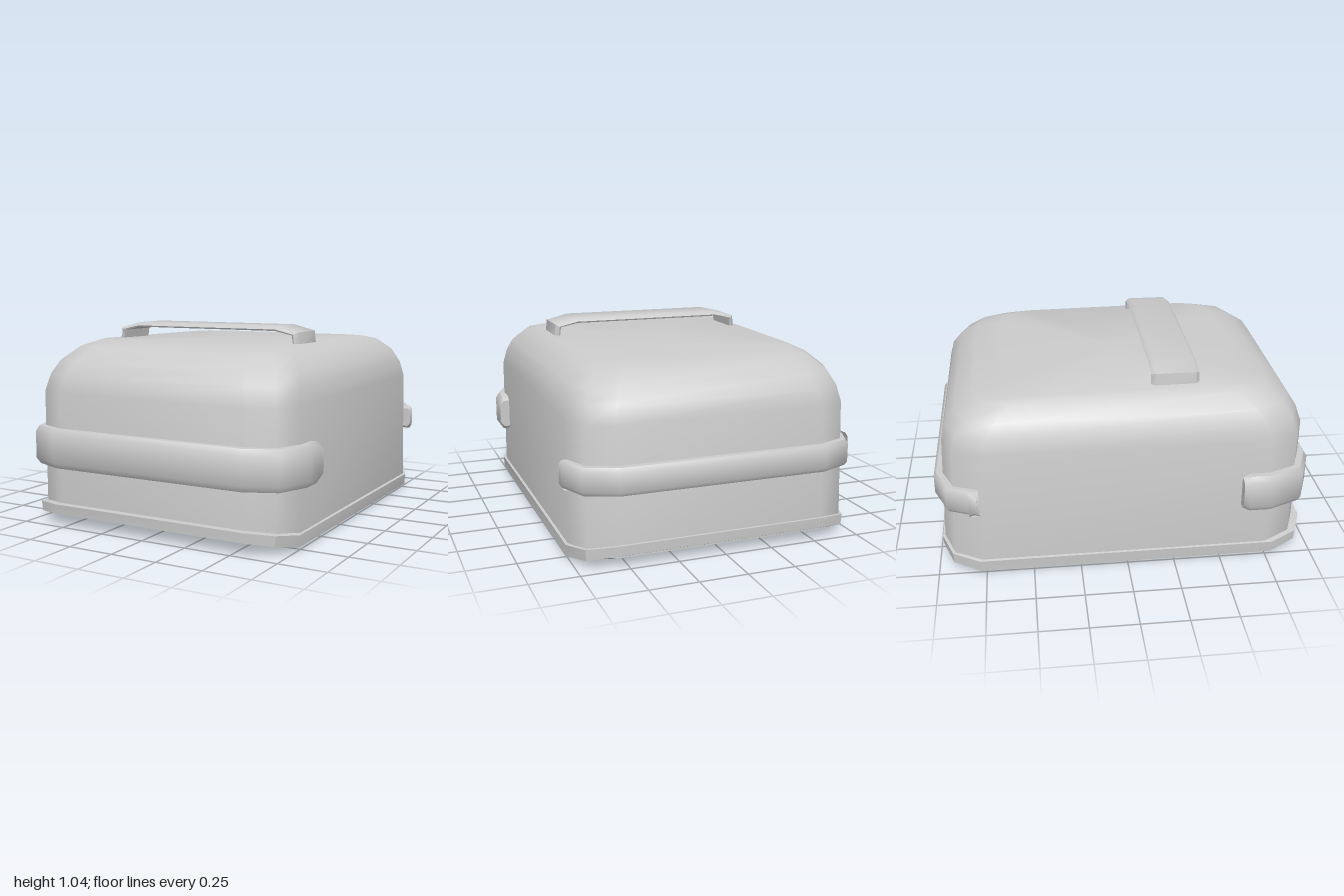
import * as THREE from 'three';
import { toCreasedNormals } from 'three/addons/utils/BufferGeometryUtils.js';

const grey = new THREE.MeshStandardMaterial({ color: 0xcccccc });

// Skin a list of closed cross-sections (each an array of [x, y, z]) and cap both ends.
function loft(name, rings, crease) {
  const n = rings[0].length;
  const points = rings.flat();
  const index = [];
  for (let j = 0; j < rings.length - 1; j++) {
    for (let i = 0; i < n; i++) {
      const a = j * n + i, b = j * n + (i + 1) % n;
      index.push(a, a + n, b, b, a + n, b + n);
    }
  }
  [0, rings.length - 1].forEach((j) => {
    const centre = [0, 1, 2].map((k) => rings[j].reduce((s, p) => s + p[k], 0) / n);
    points.push(centre);
    const c = points.length - 1;
    for (let i = 0; i < n; i++) {
      const a = j * n + i, b = j * n + (i + 1) % n;
      if (j === 0) index.push(c, a, b);
      else index.push(c, b, a);
    }
  });
  const geometry = new THREE.BufferGeometry();
  geometry.setAttribute('position', new THREE.Float32BufferAttribute(points.flat(), 3));
  geometry.setIndex(index);
  const mesh = new THREE.Mesh(toCreasedNormals(geometry, crease), grey);
  mesh.name = name;
  return mesh;
}

// Horizontal rectangle with two-segment rounded corners; yAt gives the height at each z.
function roundedRing(halfWidth, front, back, r, yAt) {
  const corners = [[1, front - r], [-1, front - r], [-1, back + r], [1, back + r]];
  return corners.flatMap(([side, cz], q) => [0, 1, 2].map((k) => {
    const a = (q + k / 2) * Math.PI / 2;
    const z = cz + r * Math.sin(a);
    return [side * (halfWidth - r) + r * Math.cos(a), yAt(z), z];
  }));
}

// Boxy shell with a softly domed top
function body() {
  const rows = [ // y, half width, front z, back z, corner radius
    [0.05, 0.75, 0.945, -0.972, 0.2],
    [0.70, 0.747, 0.945, -0.943, 0.2],
    [0.79, 0.728, 0.915, -0.92, 0.2],
    [0.86, 0.70, 0.865, -0.87, 0.2],
    [0.93, 0.632, 0.765, -0.77, 0.18],
    [0.957, 0.59, 0.64, -0.62, 0.16],
  ];
  const rings = rows.map(([y, w, f, b, r]) =>
    roundedRing(w, f, b, r, (z) => y - 0.01 * Math.max(0, (y - 0.7) / 0.25) * (z < 0 ? 1 : 0)));
  return loft('body', rings, 0.9);
}

// Base tray whose ends curl upwards
function base() {
  const lift = (z) => 0.05 * Math.max(0, (z - 0.75) / 0.23, (-z - 0.86) / 0.12);
  return loft('base', [
    roundedRing(0.72, 0.78, -0.86, 0.18, () => 0),
    roundedRing(0.758, 0.98, -0.98, 0.2, (z) => 0.012 + lift(z)),
    roundedRing(0.762, 0.983, -0.982, 0.2, (z) => 0.075 + 0.75 * lift(z)),
    roundedRing(0.735, 0.93, -0.955, 0.2, (z) => 0.085 + 0.75 * lift(z)),
  ], 0.7);
}

// Rounded bar that wraps around the front corners
function bumper(name, { halfWidth, front, end, y, halfHeight, depth }) {
  const r = 0.2;
  const section = [ // outward offset, relative height
    [0.6, 1], [1, 0.7], [1, -0.7], [0.6, -1], [-0.8, -1], [-0.8, 1],
  ];
  const d = Math.SQRT1_2;
  const half = [ // x, z, outward x, outward z, height factor
    [halfWidth, end, 1, 0, 0.78],
    [halfWidth, end + 0.04, 1, 0, 1],
    [halfWidth, front - r, 1, 0, 1],
    [halfWidth - r + r * d, front - r + r * d, d, d, 1],
    [halfWidth - r, front, 0, 1, 1],
  ];
  const path = [...half, ...half.map(([x, z, nx, nz, s]) => [-x, z, -nx, nz, s]).reverse()];
  const rings = path.map(([x, z, nx, nz, s]) => section.map(([o, h]) =>
    [x + nx * o * depth, y + h * s * halfHeight, z + nz * o * depth]));
  return loft(name, rings, 0.95);
}

// Flat strap handle with bent-down ends and softened long edges
function handle() {
  const half = [ // outer x, outer y, inner x, inner y
    [0.558, 0.945, 0.53, 0.945],
    [0.55, 1.015, 0.522, 1.0],
    [0.43, 1.045, 0.425, 1.02],
  ];
  const path = [...half, ...half.map(([a, b, c, d]) => [-a, b, -c, d]).reverse()];
  const section = [ // z, blend from inner to outer
    [0.14, 0.3], [0.16, 1], [0.37, 1], [0.39, 0.3], [0.385, 0], [0.145, 0],
  ];
  const rings = path.map(([ox, oy, ix, iy]) => section.map(([z, t]) =>
    [ix + (ox - ix) * t, iy + (oy - iy) * t, z]));
  return loft('handle', rings, 0.8);
}

export function createModel() {
  const group = new THREE.Group();
  group.name = 'case';
  const rear = bumper('rearBumper',
    { halfWidth: 0.747, front: 0.963, end: 0.775, y: 0.435, halfHeight: 0.07, depth: 0.037 });
  rear.rotation.y = Math.PI;
  group.add(
    body(),
    base(),
    bumper('frontBumper',
      { halfWidth: 0.75, front: 0.948, end: 0.6, y: 0.41, halfHeight: 0.103, depth: 0.052 }),
    rear,
    handle(),
  );
  return group;
}
